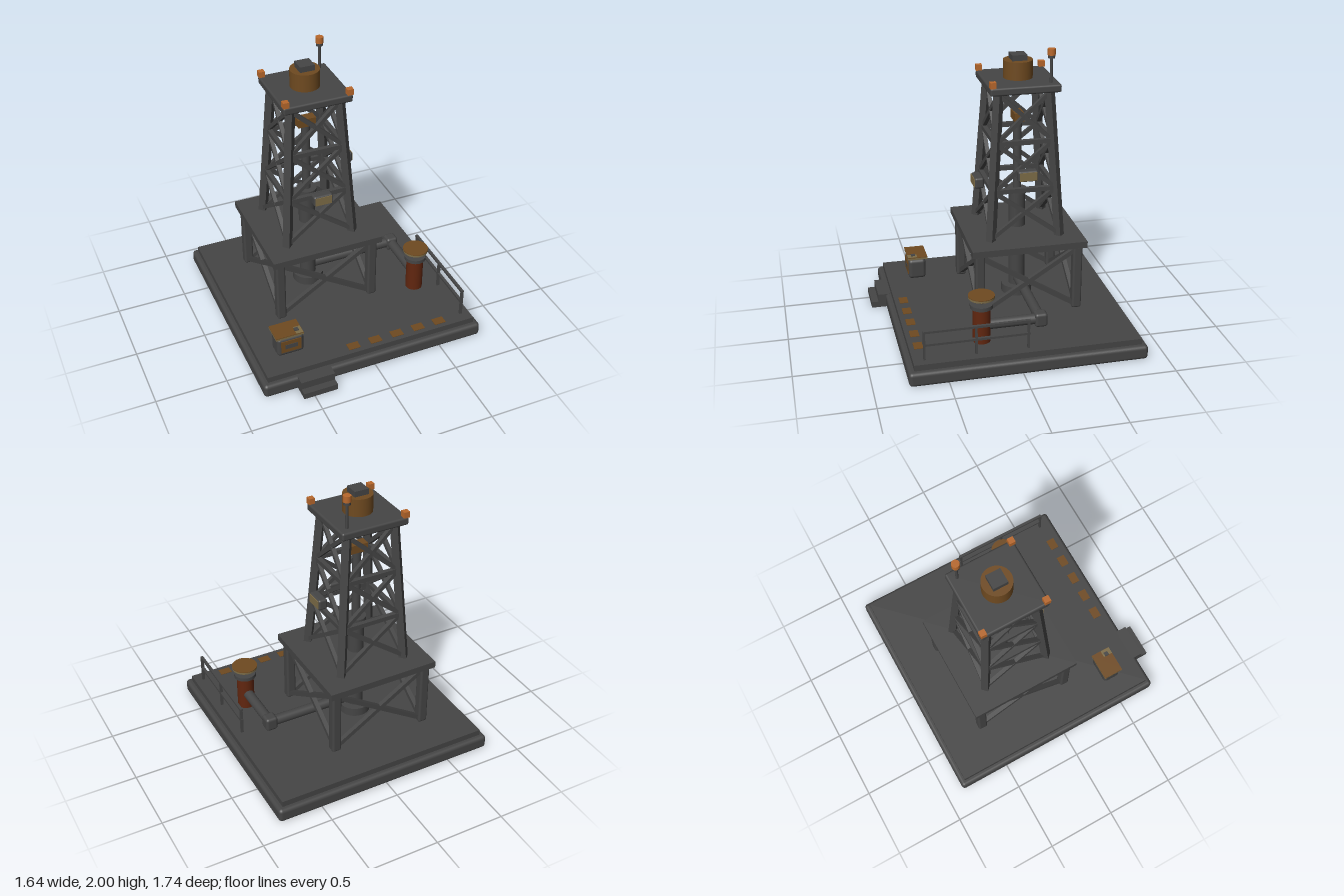
import * as THREE from 'three';
import { RoundedBoxGeometry } from 'three/addons/geometries/RoundedBoxGeometry.js';

const material = (name, color) => {
  const m = new THREE.MeshStandardMaterial({ color });
  m.name = name;
  return m;
};

export function createModel() {
  const steel = material('dark steel', 0x454545);
  const brown = material('ochre brown', 0x6f4a20);
  const orange = material('warning orange', 0xb8682c);
  const rust = material('rust red', 0x61260f);
  const tan = material('pale tan', 0x7d6c47);

  const model = new THREE.Group();
  const CX = -0.126, CZ = -0.178; // drilling axis

  const add = (name, geometry, mat, x, y, z, parent = model) => {
    const mesh = new THREE.Mesh(geometry, mat);
    mesh.name = name;
    mesh.position.set(x, y, z);
    parent.add(mesh);
    return mesh;
  };
  const group = (name) => {
    const g = new THREE.Group();
    g.name = name;
    model.add(g);
    return g;
  };
  const box = (name, mat, w, h, d, x, y, z, parent) =>
    add(name, new THREE.BoxGeometry(w, h, d), mat, x, y, z, parent);
  const rounded = (name, mat, w, h, d, r, x, y, z, parent) =>
    add(name, new RoundedBoxGeometry(w, h, d, 3, r), mat, x, y, z, parent);
  // Upright cylinder given by its bottom and top heights
  const cyl = (name, mat, r, y0, y1, x, z, parent) =>
    add(name, new THREE.CylinderGeometry(r, r, y1 - y0, 32), mat, x, (y0 + y1) / 2, z, parent);
  // Square beam between two points
  const beam = (name, a, b, t, parent) => {
    const mid = a.clone().add(b).multiplyScalar(0.5);
    const mesh = box(name, steel, t, t, a.distanceTo(b), mid.x, mid.y, mid.z, parent);
    mesh.lookAt(b);
    return mesh;
  };
  // Corner of a square around the drilling axis
  const corner = (i, half, y) => new THREE.Vector3(
    CX + (i === 0 || i === 3 ? -half : half), y, CZ + (i < 2 ? -half : half));

  // Base pad and entry steps
  rounded('basePad', steel, 1.636, 0.1, 1.636, 0.025, 0, 0.05, -0.053);
  box('deck', steel, 1.56, 0.045, 1.56, 0, 0.12, -0.054);
  box('lowerStep', steel, 0.245, 0.045, 0.14, -0.455, 0.0225, 0.8);
  box('upperStep', steel, 0.245, 0.1, 0.1, -0.455, 0.051, 0.77);

  // Substructure: four posts, cross bracing and the drill floor
  const sub = group('substructure');
  for (let i = 0; i < 4; i++) {
    const p = corner(i, 0.349, 0.381);
    rounded('post', steel, 0.068, 0.478, 0.068, 0.015, p.x, p.y, p.z, sub);
    const j = (i + 1) % 4;
    beam('crossBrace', corner(i, 0.349, 0.16), corner(j, 0.349, 0.6), 0.032, sub);
    beam('crossBrace', corner(j, 0.349, 0.16), corner(i, 0.349, 0.6), 0.032, sub);
  }
  box('drillFloor', steel, 0.816, 0.048, 0.816, CX, 0.643, CZ, sub);

  // Tapered lattice tower
  const tower = group('tower');
  const Y0 = 0.66, Y1 = 1.72;
  const halfAt = (y) => 0.246 + (0.176 - 0.246) * (y - Y0) / (Y1 - Y0);
  const levels = [0.68, 1.02, 1.36, 1.7];
  for (let i = 0; i < 4; i++) {
    const j = (i + 1) % 4;
    const at = (k, y) => corner(k, halfAt(y), y);
    beam('towerLeg', at(i, Y0), at(i, Y1), 0.052, tower);
    for (let n = 0; n < 3; n++) {
      const a = levels[n], b = levels[n + 1];
      if (n > 0) beam('girt', at(i, a), at(j, a), 0.032, tower);
      beam('latticeBrace', at(i, a), at(j, b), 0.028, tower);
      beam('latticeBrace', at(j, a), at(i, b), 0.028, tower);
    }
  }

  // Floodlight cabinets with pale faces on the front and left of the tower
  rounded('frontCabinet', steel, 0.14, 0.078, 0.066, 0.015, CX, 1.03, 0.108);
  box('frontCabinetFace', tan, 0.12, 0.06, 0.006, CX, 1.03, 0.142);
  rounded('sideCabinet', steel, 0.066, 0.078, 0.14, 0.015, 0.164, 1.153, CZ);
  box('sideCabinetFace', tan, 0.006, 0.06, 0.12, 0.198, 1.153, CZ);

  // Crown platform with drum, lamps and beacon
  const crown = group('crown');
  rounded('crownPlatform', steel, 0.49, 0.056, 0.49, 0.014, CX, 1.737, CZ, crown);
  cyl('crownDrum', brown, 0.102, 1.762, 1.89, CX, CZ, crown);
  box('crownBlock', steel, 0.104, 0.04, 0.104, CX, 1.91, CZ, crown);
  for (const i of [0, 2, 3]) {
    const p = corner(i, 0.226, 1.785);
    box('cornerLamp', orange, 0.042, 0.042, 0.042, p.x, p.y, p.z, crown);
  }
  cyl('beaconMast', steel, 0.01, 1.76, 1.94, 0.057, -0.363, crown);
  cyl('beaconCollar', steel, 0.024, 1.935, 1.956, 0.057, -0.363, crown);
  cyl('beacon', orange, 0.027, 1.956, 2, 0.057, -0.363, crown);

  // Well head, casing and drill string
  const well = group('well');
  cyl('wellFlange', steel, 0.111, 0.14, 0.205, CX, CZ, well);
  cyl('casing', steel, 0.059, 0.2, 0.925, CX, CZ, well);
  cyl('casingCap', steel, 0.072, 0.92, 0.946, CX, CZ, well);
  cyl('drillString', steel, 0.03, 0.94, 1.48, CX, CZ, well);
  box('travellingBlock', brown, 0.13, 0.06, 0.07, CX, 1.49, CZ, well);

  // Discharge pipe with elbow
  const pipe = group('dischargePipe');
  const run = cyl('pipeRun', steel, 0.036, 0, 0.66, 0, 0, pipe);
  run.rotation.z = Math.PI / 2;
  run.position.set(0.22, 0.26, CZ);
  const branch = cyl('pipeBranch', steel, 0.036, 0, 0.4, 0, 0, pipe);
  branch.rotation.x = Math.PI / 2;
  branch.position.set(0.552, 0.26, 0.02);
  rounded('pipeElbow', steel, 0.088, 0.1, 0.088, 0.02, 0.552, 0.26, CZ, pipe);

  // Valve barrel with hand wheel
  const valve = group('valve');
  cyl('valveBarrel', rust, 0.061, 0.14, 0.398, 0.552, 0.23, valve);
  cyl('valveCollar', steel, 0.078, 0.395, 0.422, 0.552, 0.23, valve);
  cyl('valveStem', steel, 0.016, 0.42, 0.47, 0.552, 0.23, valve);
  cyl('handWheel', tan, 0.09, 0.466, 0.48, 0.552, 0.23, valve);
  cyl('handWheelTop', brown, 0.09, 0.48, 0.485, 0.552, 0.23, valve);

  // Control console
  const desk = group('console');
  rounded('consoleBody', steel, 0.194, 0.152, 0.128, 0.025, -0.55, 0.217, 0.504, desk);
  box('consoleLid', tan, 0.2, 0.014, 0.146, -0.558, 0.302, 0.499, desk);
  box('lidPlate', brown, 0.2, 0.005, 0.146, -0.558, 0.3115, 0.499, desk);
  box('lidPatch', tan, 0.05, 0.004, 0.07, -0.485, 0.314, 0.537, desk);
  box('lidSwitch', steel, 0.03, 0.008, 0.03, -0.497, 0.318, 0.53, desk);
  box('screenFrame', brown, 0.145, 0.095, 0.006, -0.55, 0.223, 0.57, desk);
  box('screen', steel, 0.09, 0.034, 0.004, -0.55, 0.223, 0.574, desk);

  // Painted floor marks
  for (let i = 0; i < 5; i++)
    box('floorMark', brown, 0.085, 0.005, 0.062, -0.127 + i * 0.165, 0.1435, 0.662);

  // Side railing
  const railing = group('railing');
  for (const z of [-0.055, 0.3, 0.648])
    box('railPost', steel, 0.02, 0.21, 0.014, 0.716, 0.245, z, railing);
  for (const y of [0.25, 0.343])
    box('rail', steel, 0.02, 0.016, 0.72, 0.716, y, 0.293, railing);

  return model;
}
